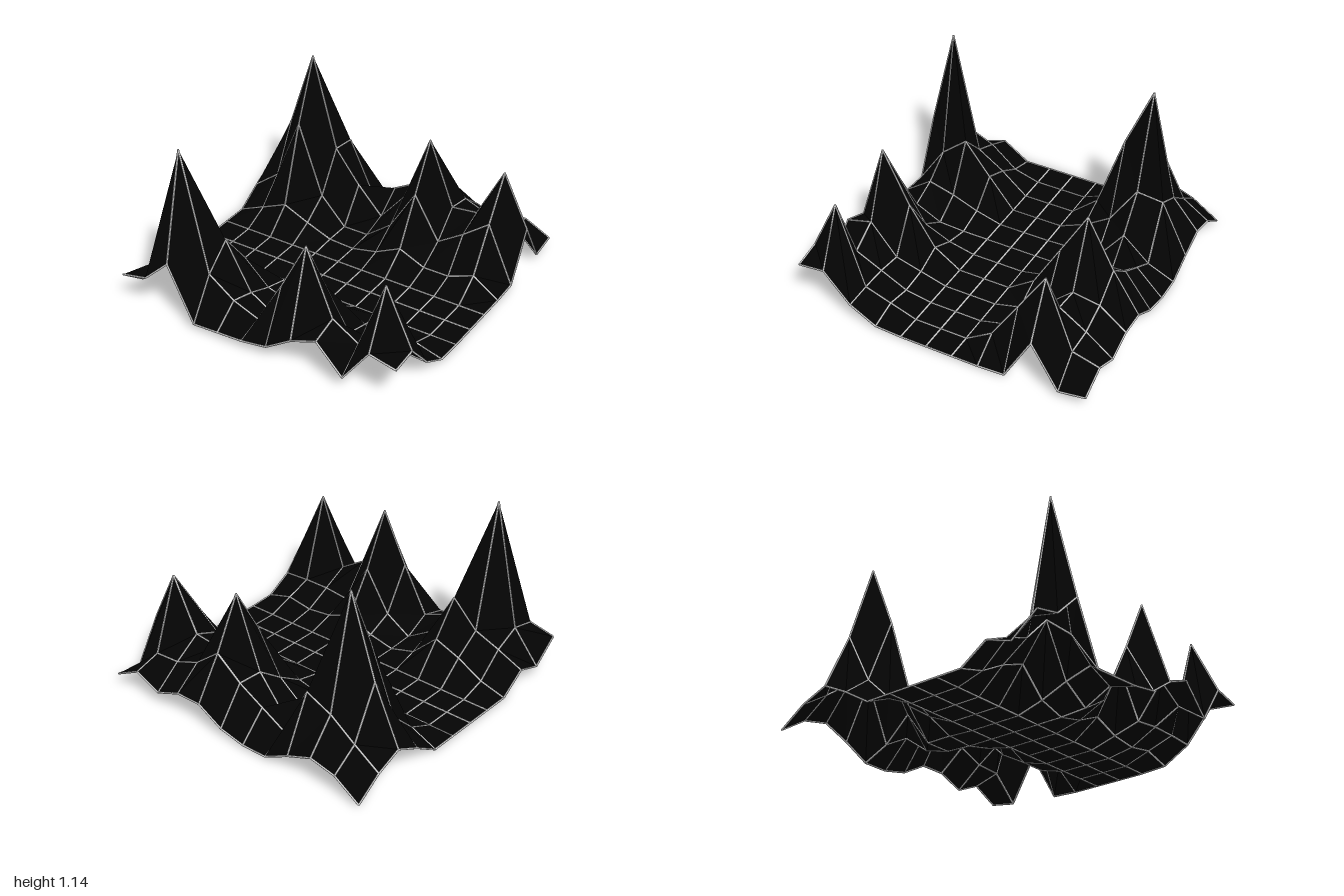
import * as THREE from 'three';
import { mergeGeometries } from 'three/addons/utils/BufferGeometryUtils.js';

const CELLS = 11, HALF = 0.994, STEP = 2 * HALF / CELLS, BASE = 0.007, WIRE = 0.006;

// Heights in hundredths, left to right; one row per grid line.
const backRange = [ // from the back edge forwards
  [1, 13, 17, 10, 1, 1, 5, 15, 15, 8, 16, 7],
  [13, 25, 38, 46, 9, 19, 29, 43, 29, 22, 21, 4],
  [20, 59, 113, 48, 25, 6, 28, 77, 32, 34, 70, 34],
  [11, 25, 70, 20, 1, 1, 15, 45, 15, 27, 41, 1],
  [0, 8, 16, 8, 1, 0, 4, 13, 5, 5, 12, 0],
];
const frontRange = [ // last four rows, ending at the front edge
  [0, 5, 15, 22, 5, 0, 4, 12, 5, 3, 6, 1],
  [12, 20, 27, 45, 12, 1, 12, 40, 10, 12, 12, 11],
  [6, 28, 113, 30, 17, 10, 42, 77, 32, 21, 70, 31],
  [20, 24, 41, 3, 4, 5, 8, 20, 27, 8, 33, 29],
];

function node(i, j) {
  const row = backRange[j] || frontRange[j - 8]; // flat valley between the ranges
  return new THREE.Vector3(-HALF + i * STEP, BASE + (row ? row[i] / 100 : 0), -HALF + j * STEP);
}

// Straight thin rod between two points
function rod(a, b) {
  const d = b.clone().sub(a);
  const g = new THREE.CylinderGeometry(WIRE, WIRE, d.length(), 6);
  g.applyQuaternion(new THREE.Quaternion().setFromUnitVectors(new THREE.Vector3(0, 1, 0), d.normalize()));
  const m = a.clone().add(b).multiplyScalar(0.5);
  return g.translate(m.x, m.y, m.z);
}

export function createModel() {
  const group = new THREE.Group();
  group.name = 'mountainTerrain';

  // Faceted dark ground
  const ground = new THREE.PlaneGeometry(2 * HALF, 2 * HALF, CELLS, CELLS).rotateX(-Math.PI / 2);
  const pos = ground.attributes.position;
  for (let k = 0; k < pos.count; k++) {
    pos.setY(k, node(k % (CELLS + 1), Math.floor(k / (CELLS + 1))).y);
  }
  ground.computeVertexNormals();
  const terrain = new THREE.Mesh(ground, new THREE.MeshStandardMaterial({
    color: 0x040404, flatShading: true, side: THREE.DoubleSide,
  }));
  terrain.name = 'terrainSurface';
  group.add(terrain);

  // Light wires along every grid line
  const rods = [];
  for (let j = 0; j <= CELLS; j++) {
    for (let i = 0; i <= CELLS; i++) {
      if (i < CELLS) rods.push(rod(node(i, j), node(i + 1, j)));
      if (j < CELLS) rods.push(rod(node(i, j), node(i, j + 1)));
    }
  }
  const wires = new THREE.Mesh(mergeGeometries(rods), new THREE.MeshStandardMaterial({ color: 0xcccccc }));
  wires.name = 'gridWires';
  group.add(wires);
  return group;
}
